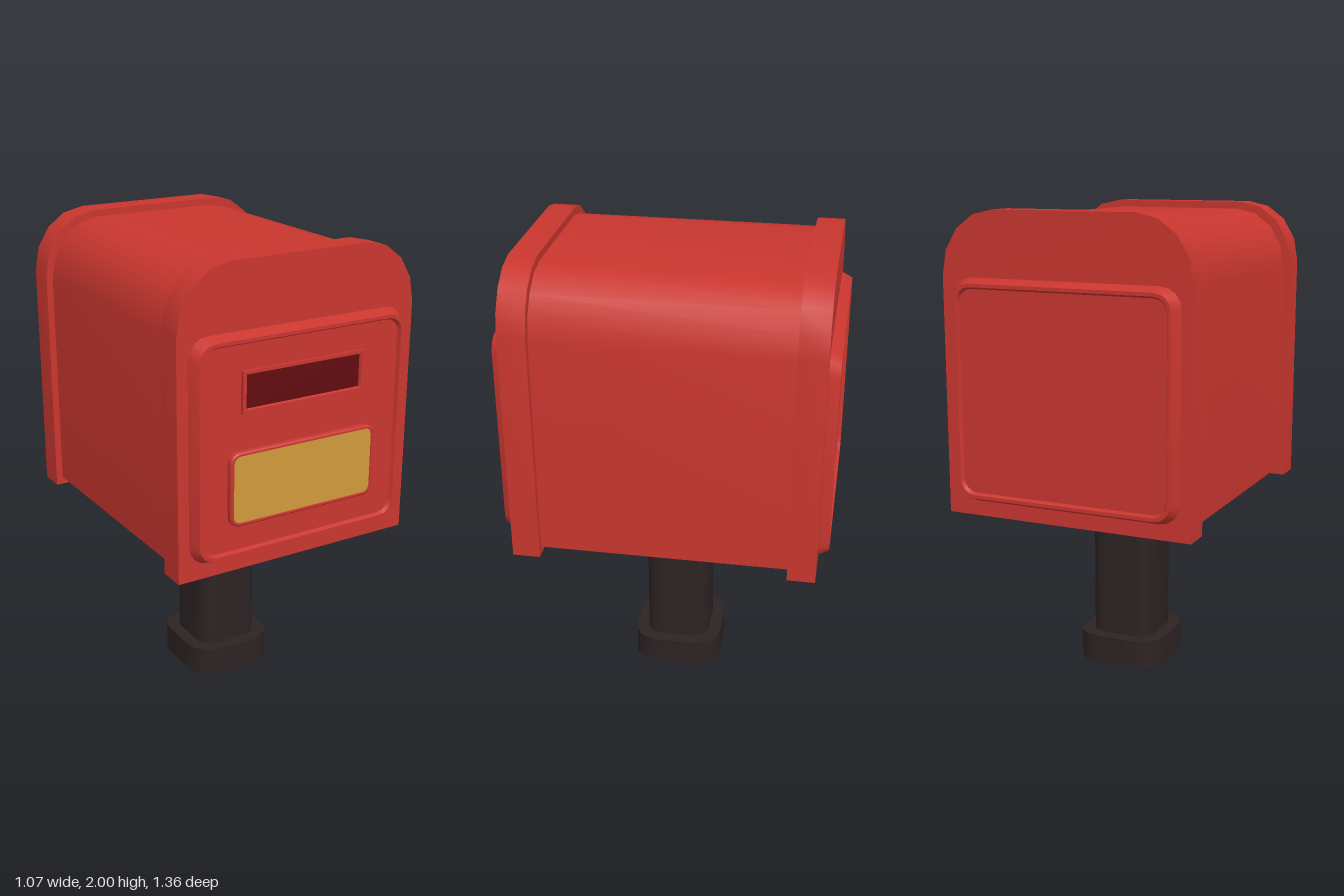
import * as THREE from 'three';
import { toCreasedNormals } from 'three/addons/utils/BufferGeometryUtils.js';

// Counter-clockwise rectangle outline with elliptical corners, at depth z
function ring(hw, y0, y1, z, top = [0, 0], bottom = top, seg = 4) {
  const pts = [];
  const corner = (sx, y, sy, [rx, ry], start) => {
    const n = rx > 0 ? seg : 0;
    for (let i = 0; i <= n; i++) {
      const a = start + (n ? (i / n) * Math.PI / 2 : Math.PI / 4);
      pts.push(new THREE.Vector3(sx * (hw - rx) + rx * Math.cos(a), y - sy * ry + ry * Math.sin(a), z));
    }
  };
  corner(1, y1, 1, top, 0);
  corner(-1, y1, 1, top, Math.PI / 2);
  corner(-1, y0, -1, bottom, Math.PI);
  corner(1, y0, -1, bottom, Math.PI * 1.5);
  return pts;
}

// Skin a series of outlines, optionally closing the first and last
function loft(rings, closeStart, closeEnd, crease = 0.5) {
  const pos = [];
  const tri = (...ps) => ps.forEach((p) => pos.push(p.x, p.y, p.z));
  const n = rings[0].length;
  for (let k = 0; k < rings.length - 1; k++) {
    const a = rings[k], b = rings[k + 1];
    for (let i = 0; i < n; i++) {
      const j = (i + 1) % n;
      tri(a[i], a[j], b[j]);
      tri(a[i], b[j], b[i]);
    }
  }
  const first = rings[0], last = rings[rings.length - 1];
  for (let i = 1; i < n - 1; i++) {
    if (closeStart) tri(first[0], first[i + 1], first[i]);
    if (closeEnd) tri(last[0], last[i], last[i + 1]);
  }
  const geo = new THREE.BufferGeometry();
  geo.setAttribute('position', new THREE.Float32BufferAttribute(pos, 3));
  return toCreasedNormals(geo, crease);
}

export function createModel() {
  const model = new THREE.Group();
  model.name = 'mailbox';
  const red = new THREE.MeshStandardMaterial({ color: 0xc9362f });
  red.name = 'red paint';
  const darkRed = new THREE.MeshStandardMaterial({ color: 0x620c10 });
  darkRed.name = 'dark red slot';
  const yellow = new THREE.MeshStandardMaterial({ color: 0xd09a3c });
  yellow.name = 'ochre label';
  const black = new THREE.MeshStandardMaterial({ color: 0x2d2323, side: THREE.DoubleSide });
  black.name = 'black iron';

  const add = (name, geo, mat) => {
    const mesh = new THREE.Mesh(geo, mat);
    mesh.name = name;
    model.add(mesh);
    return mesh;
  };
  const r = (v) => [v, v];

  // Arched body and its two wider end caps
  const arch = (hw, y0, y1, z0, z1, rx, ry) =>
    loft([z0, z1].map((z) => ring(hw, y0, y1, z, [rx, ry], [0, 0])), true, true);
  add('body', arch(0.508, 0.795, 1.97, -0.55, 0.55, 0.225, 0.25), red);
  add('frontCap', arch(0.537, 0.762, 2, 0.51, 0.625, 0.235, 0.26), red);
  add('backCap', arch(0.537, 0.762, 2, -0.635, -0.52, 0.235, 0.26), red);

  // Bevelled doors with a shallow recess inside the rim
  const door = (z) => loft([
    ring(0.49, 0.825, 1.735, z, r(0.085)),
    ring(0.467, 0.845, 1.715, z + 0.045, r(0.07)),
    ring(0.453, 0.859, 1.701, z + 0.045, r(0.06)),
    ring(0.445, 0.867, 1.693, z + 0.03, r(0.055)),
  ], false, true);
  add('frontDoor', door(0.625), red);
  add('backDoor', door(0.635), red).rotation.y = Math.PI;

  // Letter slot
  add('slotFrame', loft([
    ring(0.28, 1.425, 1.592, 0.65),
    ring(0.28, 1.425, 1.592, 0.67),
    ring(0.265, 1.438, 1.579, 0.67),
    ring(0.257, 1.444, 1.573, 0.655),
  ], false, false), red);
  add('slotOpening', new THREE.BoxGeometry(0.52, 0.135, 0.006).translate(0, 1.5085, 0.656), darkRed);

  // Label plate in a rounded frame
  add('labelFrame', loft([
    ring(0.337, 0.973, 1.277, 0.65, r(0.04)),
    ring(0.337, 0.973, 1.277, 0.674, r(0.04)),
    ring(0.331, 0.979, 1.271, 0.68, r(0.036)),
    ring(0.323, 0.986, 1.264, 0.68, r(0.03)),
    ring(0.321, 0.988, 1.262, 0.674, r(0.028)),
  ], false, false), red);
  add('label', loft([
    ring(0.322, 0.987, 1.263, 0.67, r(0.028)),
    ring(0.322, 0.987, 1.263, 0.676, r(0.028)),
  ], false, true), yellow);

  // Hollow rounded-square post and foot collar, stood upright
  const square = (h, y, rad) => ring(h, -h, h, y, r(rad));
  const upright = (geo) => geo.rotateX(-Math.PI / 2);
  add('post', upright(loft([square(0.14, 0.08, 0.065), square(0.14, 0.81, 0.065)], false, false)), black);
  add('footCollar', upright(loft([
    square(0.138, 0.125, 0.065),
    square(0.138, 0, 0.065),
    square(0.195, 0, 0.11),
    square(0.195, 0.125, 0.11),
    square(0.138, 0.125, 0.065),
  ], false, false)), black);

  return model;
}
